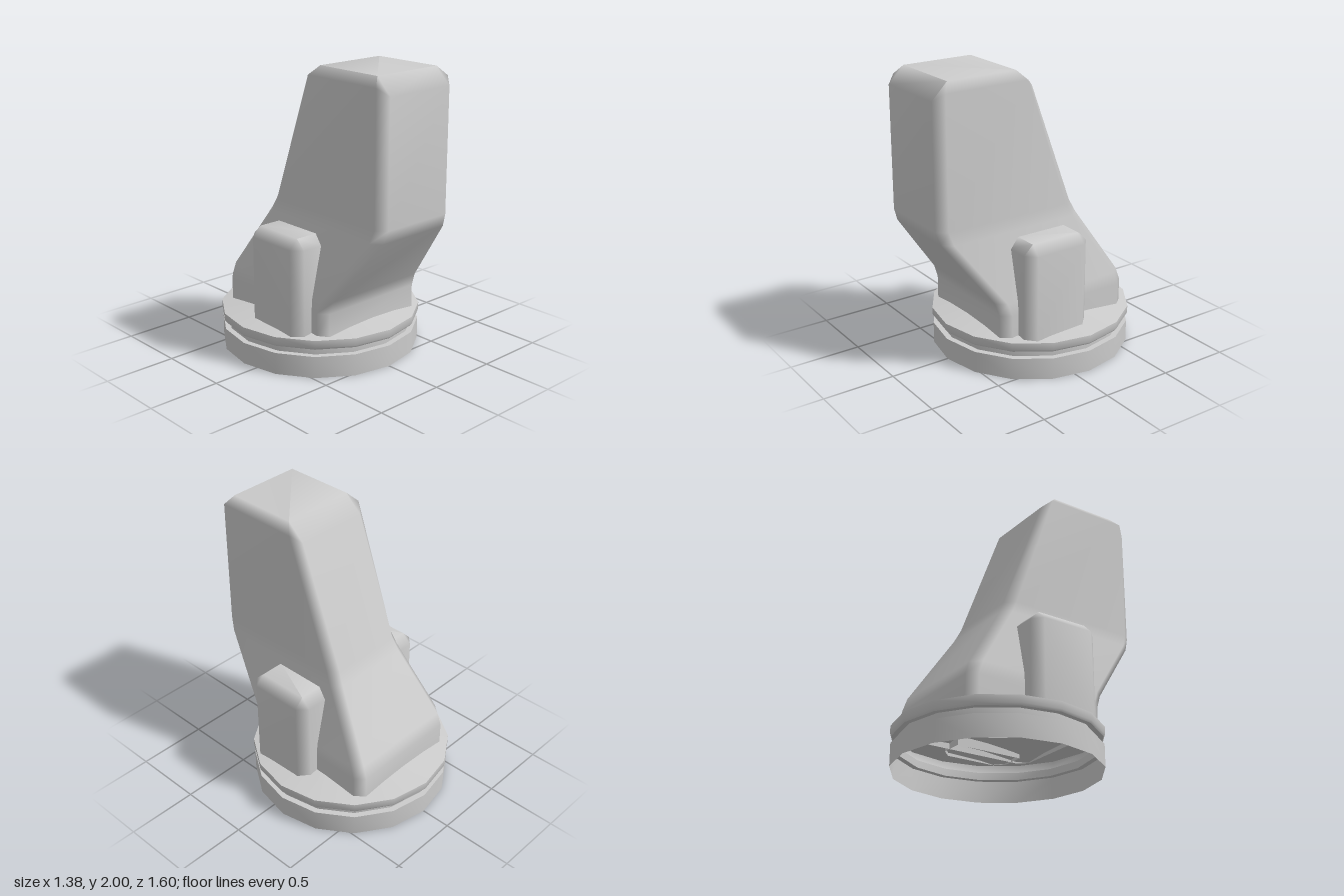
import * as THREE from 'three';
import { toCreasedNormals } from 'three/addons/utils/BufferGeometryUtils.js';

const material = new THREE.MeshStandardMaterial({ color: 0xcccccc, side: THREE.DoubleSide });

// Eight-sided ring: a rectangle with cut corners (inner = cut at x0, outer = cut at x1).
// Points on the two x sides may sit higher than those on the front and back by lift.
function ring(y, x0, x1, z0, z1, inner, outer, cutZ, lift = 0) {
  const iz = inner ? cutZ : 0, oz = outer ? cutZ : 0;
  return [
    [x0 + inner, y, z1], [x1 - outer, y, z1],
    [x1, y + lift, z1 - oz], [x1, y + lift, z0 + oz],
    [x1 - outer, y, z0], [x0 + inner, y, z0],
    [x0, y + lift, z0 + iz], [x0, y + lift, z1 - iz],
  ];
}

// Smooth skin through the rings, closed at the top and open at the bottom
function loft(rings) {
  const n = rings[0].length, index = [];
  for (let r = 0; r < rings.length - 1; r++) {
    for (let i = 0; i < n; i++) {
      const a = r * n + i, b = r * n + (i + 1) % n;
      index.push(a, b, b + n, a, b + n, a + n);
    }
  }
  const top = (rings.length - 1) * n;
  for (let i = 1; i < n - 1; i++) index.push(top, top + i, top + i + 1);
  const geometry = new THREE.BufferGeometry();
  geometry.setAttribute('position', new THREE.Float32BufferAttribute(rings.flat(2), 3));
  geometry.setIndex(index);
  geometry.computeVertexNormals();
  return geometry;
}

export function createModel() {
  const group = new THREE.Group();
  const add = (name, geometry) => {
    const mesh = new THREE.Mesh(geometry, material);
    mesh.name = name;
    group.add(mesh);
    return mesh;
  };

  // Hollow round base with a groove, a rim and a shallow cone lid with a centre hole
  const profile = [
    [0.685, 0], [0.685, 0.15], [0.645, 0.15], [0.645, 0.2],
    [0.68, 0.2], [0.69, 0.215], [0.69, 0.265], [0.29, 0.335],
  ].map(([r, y]) => new THREE.Vector2(r, y));
  const base = add('base', toCreasedNormals(new THREE.LatheGeometry(profile, 16), 0.85));
  base.position.z = -0.107;

  // Leaning tower: height, half width, back z, front z
  const sections = [
    [0.265, 0.44, -0.6, 0.41], [0.43, 0.44, -0.6, 0.41],
    [0.52, 0.433, -0.57, 0.44], [0.97, 0.33, -0.285, 0.77],
    [1.06, 0.315, -0.24, 0.8],
  ];
  const rings = sections.map(([y, w, z0, z1]) => ring(y, -w, w, z0, z1, 0.055, 0.055, 0.065));
  rings.push(ring(1.89, -0.315, 0.315, 0.07, 0.8, 0.055, 0.055, 0.065, 0.05));
  rings.push(ring(2, -0.26, 0.26, 0.19, 0.69, 0, 0, 0));
  add('tower', loft(rings));

  // Bevelled block on each side
  const block = loft([
    ring(0.265, 0.335, 0.565, -0.2, 0.297, 0, 0.065, 0.065),
    ring(0.86, 0.335, 0.565, -0.2, 0.297, 0, 0.065, 0.065),
    ring(0.925, 0.335, 0.5, -0.135, 0.23, 0, 0, 0),
  ]);
  add('leftBlock', block);
  add('rightBlock', block).scale.x = -1;

  return group;
}
